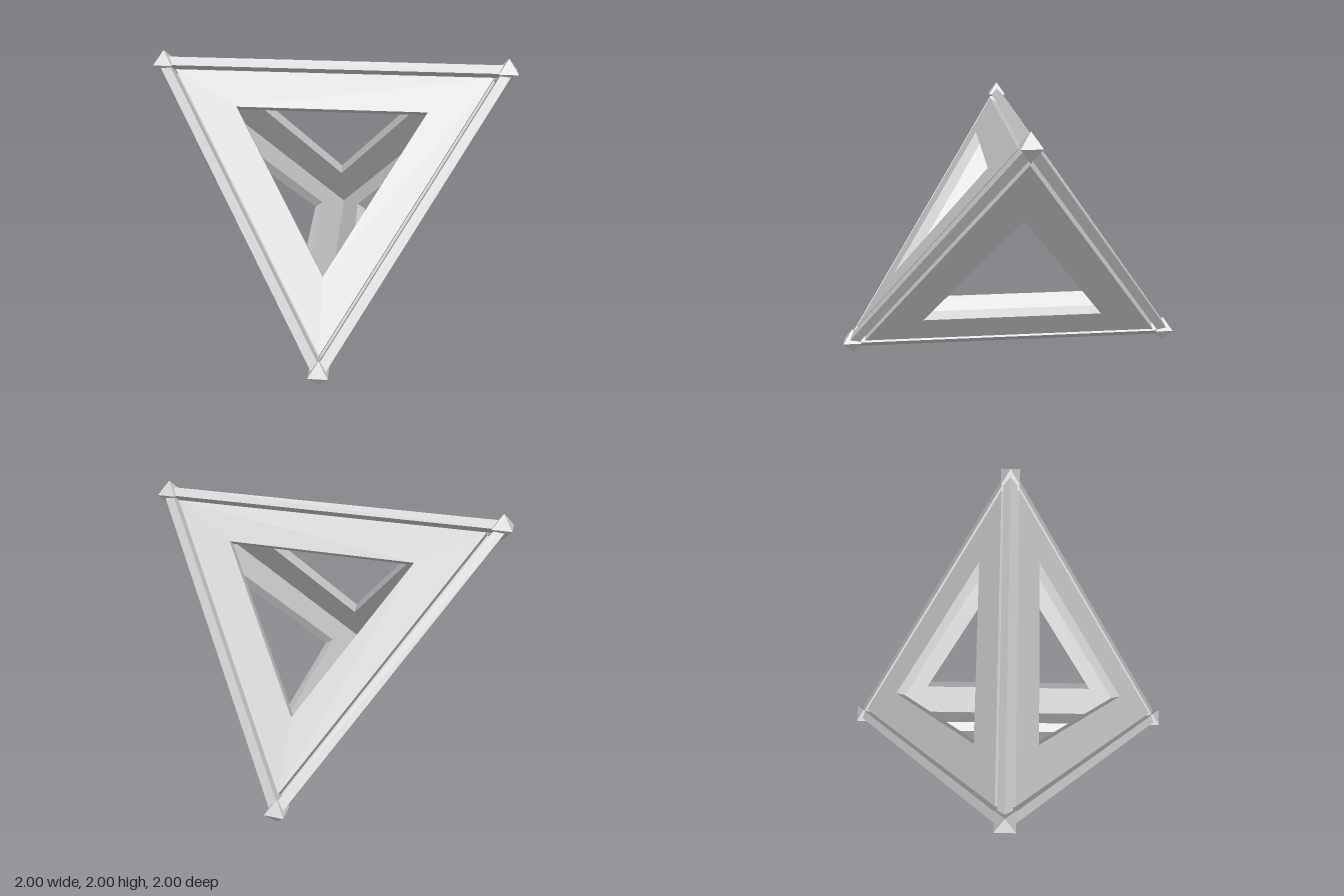
import * as THREE from 'three';

const HALF = 0.9;            // half side of the cube that holds the tetrahedron
const ROD_RADIUS = 0.05;
const JOINT_RADIUS = 0.1;
const PANEL_DEPTH = 0.08;
const PANEL_SCALE = 0.92;    // panel outline relative to the full face
const OPENING_SCALE = 0.55;  // opening relative to the full face

// Places an object by its own x, y, z axes and a position
function place(object, x, y, z, position) {
  object.quaternion.setFromRotationMatrix(new THREE.Matrix4().makeBasis(x, y, z));
  object.position.copy(position);
  return object;
}

// Corners of an equilateral triangle, the first one on +x
function triangle(radius) {
  return [0, 1, 2].map((i) => {
    const a = (i * 2 * Math.PI) / 3;
    return new THREE.Vector2(Math.cos(a) * radius, Math.sin(a) * radius);
  });
}

export function createModel() {
  const model = new THREE.Group();
  model.name = 'tetrahedronFrame';
  const frame = new THREE.Group();
  frame.name = 'frame';
  frame.position.y = 1;
  model.add(frame);

  const material = new THREE.MeshStandardMaterial({ color: 0xcccccc, flatShading: true });
  const corners = [[1, 1, 1], [-1, -1, 1], [1, -1, -1], [-1, 1, -1]]
    .map((c) => new THREE.Vector3(...c).multiplyScalar(HALF));

  // Triangular panel with a triangular opening, centred on its thickness
  const faceRadius = HALF * 2 * Math.SQRT2 / Math.sqrt(3);
  const outline = new THREE.Shape(triangle(faceRadius * PANEL_SCALE));
  outline.holes.push(new THREE.Path(triangle(faceRadius * OPENING_SCALE).reverse()));
  const panelGeometry = new THREE.ExtrudeGeometry(outline, { depth: PANEL_DEPTH, bevelEnabled: false });
  panelGeometry.translate(0, 0, -PANEL_DEPTH / 2);

  const jointGeometry = new THREE.OctahedronGeometry(JOINT_RADIUS);
  const rodGeometry = new THREE.CylinderGeometry(
    ROD_RADIUS, ROD_RADIUS, corners[0].distanceTo(corners[1]), 4);

  corners.forEach((corner, i) => {
    // Octahedral joint on the corner
    const joint = new THREE.Mesh(jointGeometry, material);
    joint.name = `joint${i + 1}`;
    joint.position.copy(corner);
    frame.add(joint);

    // Panel on the face opposite the corner
    const panel = new THREE.Mesh(panelGeometry, material);
    panel.name = `panel${i + 1}`;
    const centre = corner.clone().multiplyScalar(-1 / 3);
    const normal = centre.clone().normalize();
    const toCorner = corners[(i + 1) % 4].clone().sub(centre).normalize();
    frame.add(place(panel, toCorner, normal.clone().cross(toCorner), normal, centre));

    // Square rods to the remaining corners, one ridge facing straight out
    for (let j = i + 1; j < 4; j++) {
      const rod = new THREE.Mesh(rodGeometry, material);
      rod.name = `rod${i + 1}${j + 1}`;
      const along = corners[j].clone().sub(corner).normalize();
      const middle = corner.clone().add(corners[j]).multiplyScalar(0.5);
      const outward = middle.clone().normalize();
      frame.add(place(rod, along.clone().cross(outward), along, outward, middle));
    }
  });

  return model;
}
